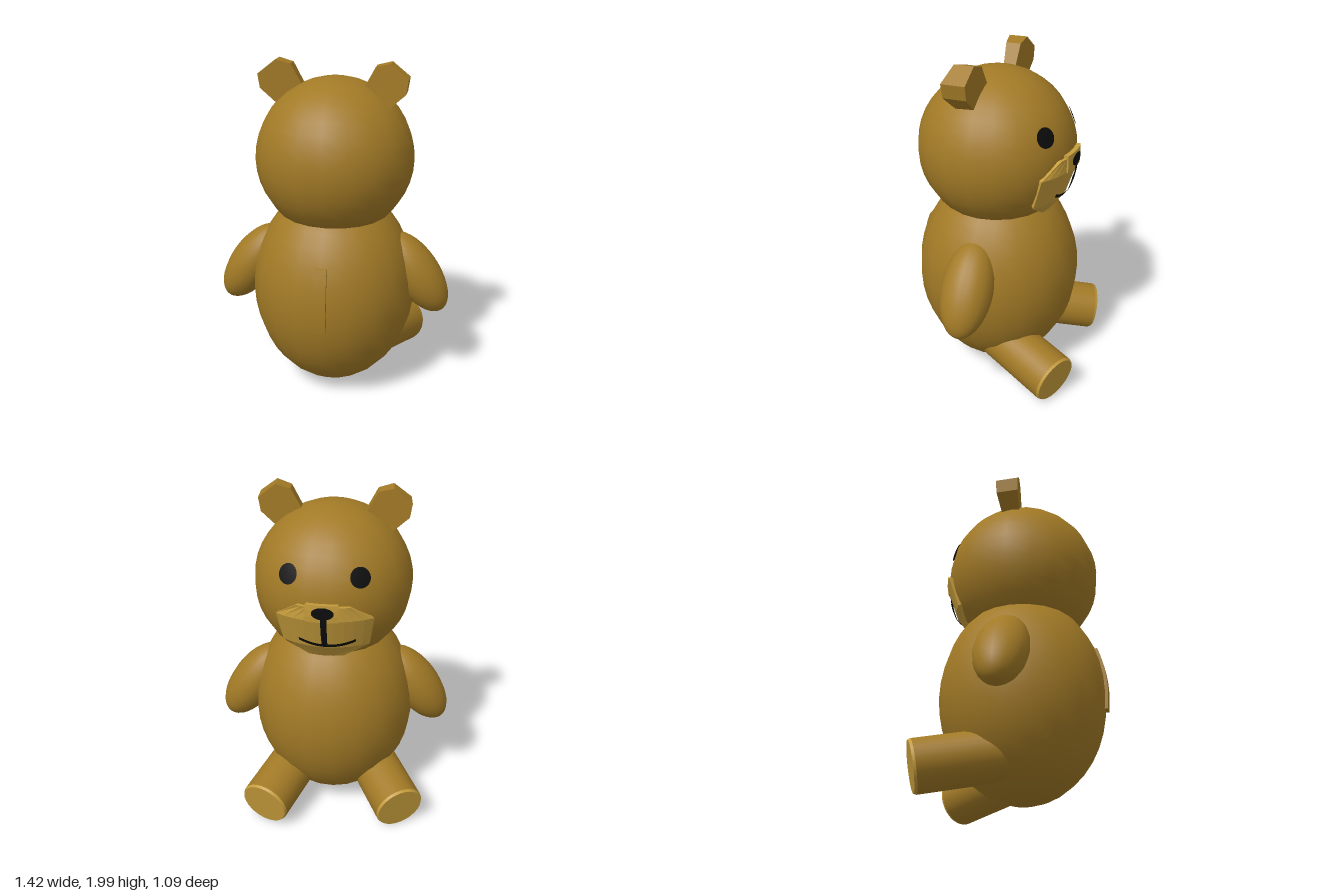
import * as THREE from 'three';

const mat = (name, color, side = THREE.FrontSide) => {
  const m = new THREE.MeshStandardMaterial({ color, side });
  m.name = name;
  return m;
};

export function createModel() {
  const fur = mat('brown fur', 0xa27a26);
  const tan = mat('light tan', 0xc59c3c);
  const black = mat('black', 0x0c0c0c, THREE.DoubleSide);
  const group = new THREE.Group();
  const add = (name, geo, material) => {
    const mesh = new THREE.Mesh(geo, material);
    mesh.name = name;
    group.add(mesh);
    return mesh;
  };
  // Move every vertex of a geometry by a rule
  const bend = (geo, rule) => {
    const p = geo.attributes.position;
    for (let i = 0; i < p.count; i++) p.setXYZ(i, ...rule(p.getX(i), p.getY(i), p.getZ(i)));
    geo.computeVertexNormals();
    return geo;
  };
  const ellipsoid = (name, pos, size) => {
    const m = add(name, new THREE.SphereGeometry(1, 20, 20), fur);
    m.position.set(...pos);
    m.scale.set(...size);
    return m;
  };

  // Body and head
  const B = [0.005, 0.635, 0.035];
  ellipsoid('body', B, [0.495, 0.625, 0.495]);
  const H = [0.01, 1.445, 0.04];
  ellipsoid('head', H, [0.465, 0.465, 0.465]);

  // Raised seam strip that follows the curve of the back
  const strip = new THREE.BoxGeometry(0.07, 0.38, 0.03, 1, 8, 1);
  add('backSeam', bend(strip, (x, y, z) => {
    const k = (y + 0.72 - B[1]) / 0.625;
    return [x + 0.005, y + 0.72, B[2] + 0.492 * Math.sqrt(1 - k * k) + z];
  }), fur);

  for (const s of [1, -1]) {
    const side = s > 0 ? 'left' : 'right';
    // Arms
    const arm = ellipsoid(side + 'Arm', [s * 0.508, 0.74, 0.035], [0.14, 0.29, 0.153]);
    arm.rotation.z = s * THREE.MathUtils.degToRad(35);

    // Legs with foot pads, pointing out and slightly down
    const dir = new THREE.Vector3(s * 0.41, -0.19, -0.89).normalize();
    const end = new THREE.Vector3(s * 0.415, 0.152, -0.483);
    const limb = (name, r0, r1, len, back, material) => {
      const m = add(name, new THREE.CylinderGeometry(r1, r0, len, 28), material);
      m.quaternion.setFromUnitVectors(new THREE.Vector3(0, 1, 0), dir);
      m.position.copy(end).addScaledVector(dir, -back - len / 2);
    };
    limb(side + 'Leg', 0.15, 0.15, 0.48, 0.015, fur);
    limb(side + 'FootPad', 0.15, 0.143, 0.015, 0, tan);

    // Ears: angular prisms, thicker towards the outside
    const outline = [[0.25, 1.72], [0.333, 1.755], [0.425, 1.84], [0.437, 1.92],
      [0.335, 2.0], [0.25, 1.978], [0.185, 1.86]];
    const shape = new THREE.Shape(outline.map(([x, y]) => new THREE.Vector2(s * (x - (s < 0 ? 0.01 : 0)), y)));
    const ear = new THREE.ExtrudeGeometry(shape, { depth: 1, bevelEnabled: false });
    add(side + 'Ear', bend(ear, (x, y, z) => {
      const t = (Math.abs(x) - 0.185) / 0.25;
      const mid = s > 0 ? 0.065 + 0.055 * t : 0.035;
      return [x, y, mid + (z - 0.5) * (0.075 + 0.062 * t)];
    }), fur);
  }

  // Point on a sphere around the head; azimuth 0 is the middle of the face
  const onHead = (az, lat, r) => [
    H[0] + r * Math.cos(lat) * Math.sin(az),
    H[1] + r * Math.sin(lat),
    H[2] - r * Math.cos(lat) * Math.cos(az),
  ];
  const wrap = (geo, az, lat, r) =>
    bend(geo, (x, y, z) => onHead(az - x / r, lat + y / r, r + z));

  // Muzzle: a plate hugging the head; rows hold latitude and half width in degrees
  const rows = [[-43.5, 17], [-30, 36], [-6.5, 34.5], [3.5, 18]];
  const rad = THREE.MathUtils.degToRad;
  const face = 0.08;
  const muzzle = new THREE.BoxGeometry(2, 1, 1, 10, 3, 1).toNonIndexed();
  add('muzzle', bend(muzzle, (x, y, z) => {
    const [lat, half] = rows[Math.round((y + 0.5) * 3)];
    return onHead(face - x * rad(half), rad(lat), z > 0 ? 0.484 : 0.44);
  }), tan);
  const block = new THREE.BoxGeometry(0.18, 0.1, 0.03, 6, 3, 1).toNonIndexed();
  add('noseBlock', wrap(block, face + 0.01, -0.01, 0.477), tan);

  // Painted nose, mouth and eyes
  const oval = (w, h) => new THREE.CircleGeometry(1, 24).scale(w, h, 1);
  add('nose', wrap(oval(0.062, 0.036), face, 0, 0.497), black);
  add('noseLine', wrap(new THREE.PlaneGeometry(0.035, 0.2, 2, 8), face - 0.01, -0.24, 0.494), black);
  const mouth = bend(new THREE.PlaneGeometry(0.35, 0.024, 16, 1),
    (x, y, z) => [x, y + 1.3 * x * x, z]);
  add('mouth', wrap(mouth, face - 0.04, -0.475, 0.489), black);
  add('leftEye', wrap(oval(0.063, 0.058), 0.562, 0.386, 0.47), black);
  add('rightEye', wrap(oval(0.063, 0.058), -0.38, 0.386, 0.47), black);

  return group;
}
